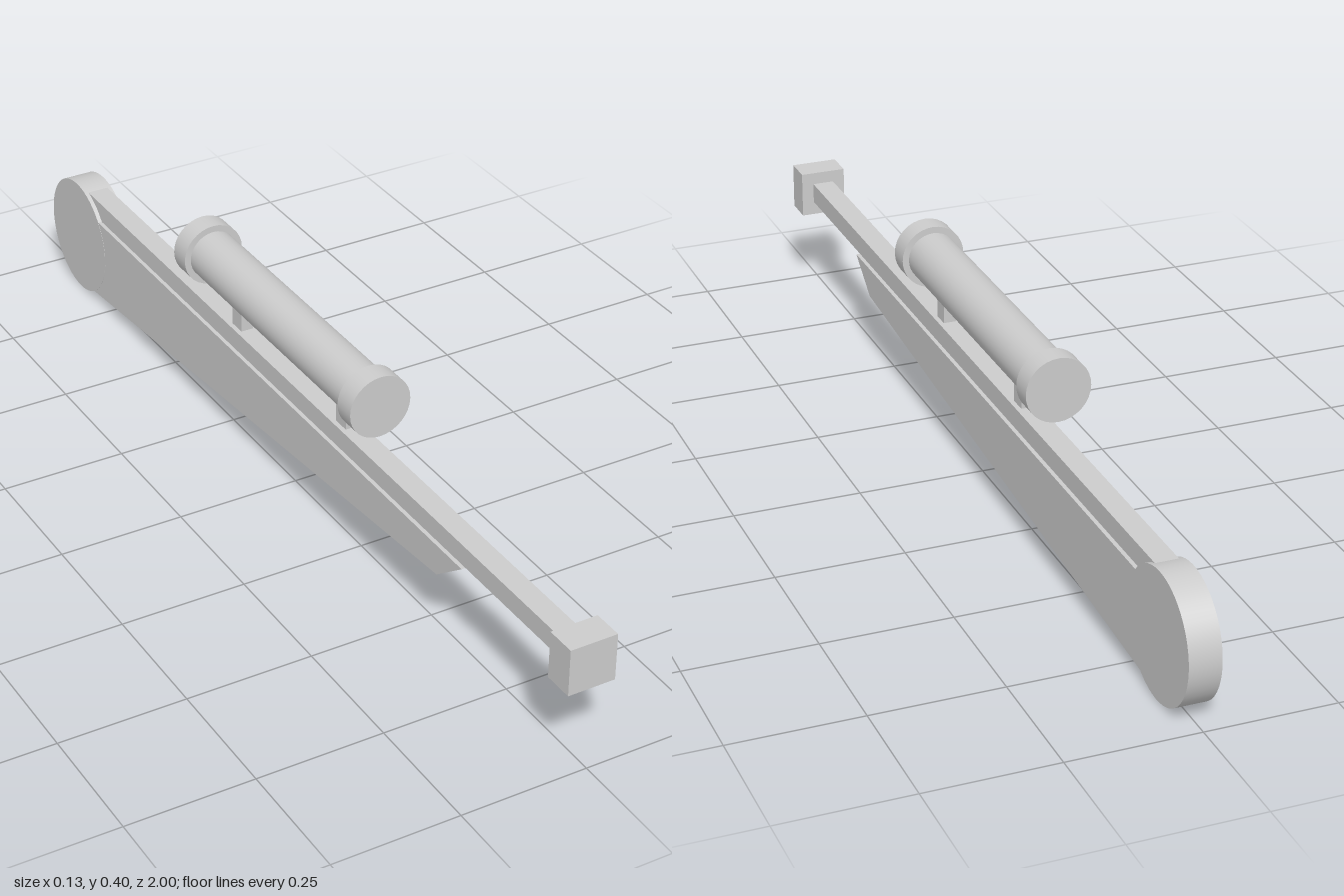
import * as THREE from 'three';

export function createModel() {
  const model = new THREE.Group();
  const material = new THREE.MeshStandardMaterial({ color: 0xcccccc });

  function add(name, geometry, x = 0, y = 0, z = 0) {
    const mesh = new THREE.Mesh(geometry, material);
    mesh.name = name;
    mesh.position.set(x, y, z);
    model.add(mesh);
    return mesh;
  }
  // Box given by its width and its y and z ranges
  const box = (name, w, y0, y1, z0, z1) =>
    add(name, new THREE.BoxGeometry(w, y1 - y0, z1 - z0), 0, (y0 + y1) / 2, (z0 + z1) / 2);
  // Cylinder lying along z
  const tube = (name, r, y, z0, z1) =>
    add(name, new THREE.CylinderGeometry(r, r, z1 - z0, 32).rotateX(Math.PI / 2), 0, y, (z0 + z1) / 2);

  // Barrel and square muzzle block
  box('barrel', 0.044, 0.2, 0.241, -0.86, 0.95);
  box('muzzle', 0.094, 0.172, 0.266, 0.94, 1);

  // Tapered stock: side profile as (z, y), extruded across x
  const profile = [[0.64, 0.2], [0.56, 0.139], [-0.84, 0.017], [-0.84, 0.2]];
  const shape = new THREE.Shape(profile.map(([z, y]) => new THREE.Vector2(z, y)));
  const stock = new THREE.ExtrudeGeometry(shape, { depth: 0.06, bevelEnabled: false });
  stock.translate(0, 0, -0.03).rotateY(-Math.PI / 2);
  add('stock', stock);

  // Round butt, a disc facing sideways
  const butt = new THREE.CylinderGeometry(0.123, 0.123, 0.061, 48).rotateZ(Math.PI / 2);
  add('butt', butt, 0, 0.124, -0.877);

  // Scope with end caps, held on two posts
  const scopeY = 0.342;
  tube('scopeBody', 0.05, scopeY, -0.35, 0.29);
  tube('scopeFrontCap', 0.063, scopeY, 0.265, 0.31);
  tube('scopeRearCap', 0.063, scopeY, -0.37, -0.325);
  for (const [name, z] of [['frontScopePost', 0.192], ['rearScopePost', -0.208]]) {
    box(name, 0.025, 0.23, 0.305, z - 0.018, z + 0.018);
  }

  return model;
}
